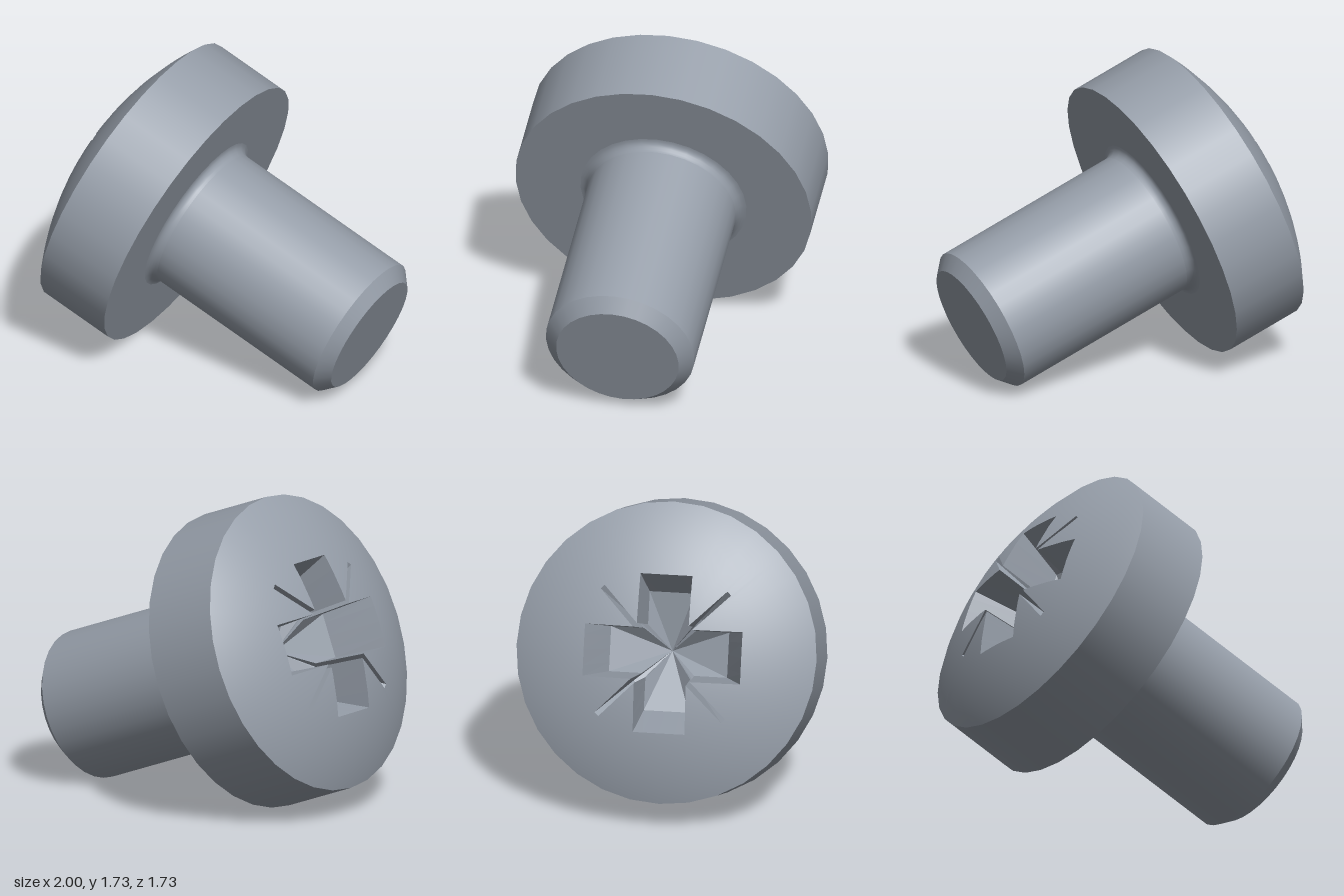
import * as THREE from 'three';

const SIDES = 32, STEP = (2 * Math.PI) / SIDES;
const HEAD_R = 0.838, RIM_Y = 0.445, TOP_Y = 0.68, SHAFT_R = 0.42, TIP_R = 0.347, TIP_Y = -1.205;
const CAP = TOP_Y - RIM_Y;
const BALL = (HEAD_R ** 2 + CAP ** 2) / (2 * CAP);   // radius of the domed top
const BALL_Y = TOP_Y - BALL;

const domeY = (r) => BALL_Y + Math.sqrt(BALL ** 2 - r ** 2);

// Joins closed rings of points, inner to outer, into flat-normalled triangles.
function loft(rings) {
  const pos = [];
  const tri = (...pts) => pts.forEach((p) => pos.push(p.x, p.y, p.z));
  for (let k = 0; k + 1 < rings.length; k++) {
    const a = rings[k], b = rings[k + 1], n = a.length;
    for (let i = 0; i < n; i++) {
      const j = (i + 1) % n;
      if (!a[i].equals(a[j])) tri(a[i], a[j], b[i]);
      tri(a[j], b[j], b[i]);
    }
  }
  const g = new THREE.BufferGeometry();
  g.setAttribute('position', new THREE.Float32BufferAttribute(pos, 3));
  g.computeVertexNormals();
  return g;
}

// Cross-shaped drive outline with a thin diagonal slit in each corner,
// as matching pairs of points: mouth and (tapered) bottom.
function driveOutline() {
  const mouth = [[0.44, -0.145], [0.44, 0.145], [0.166, 0.145], [0.364, 0.343], [0.343, 0.364], [0.145, 0.166], [0.145, 0.44]];
  const floor = [[0.33, -0.125], [0.33, 0.125], [0.146, 0.125], [0.19, 0.169], [0.169, 0.19], [0.125, 0.146], [0.125, 0.33]];
  const vec = ([x, y]) => new THREE.Vector2(x, y);
  const out = [];
  for (let q = 0; q < 4; q++) {
    for (let i = 0; i < 6; i++) {
      const p0 = vec(mouth[i]), p1 = vec(mouth[i + 1]), f0 = vec(floor[i]), f1 = vec(floor[i + 1]);
      const a0 = Math.atan2(p0.y, p0.x), a1 = Math.atan2(p1.y, p1.x);
      const ts = [0];
      // extra points where the rim corners' rays cross this edge
      for (let k = Math.ceil(a0 / STEP); k * STEP < a1 - 1e-4; k++) {
        const dir = vec([Math.cos(k * STEP), Math.sin(k * STEP)]);
        const t = -p0.cross(dir) / p1.clone().sub(p0).cross(dir);
        if (t > 1e-4) ts.push(t);
      }
      for (const t of ts) {
        const turn = (v) => v.rotateAround(new THREE.Vector2(), (q * Math.PI) / 2);
        out.push({ mouth: turn(p0.clone().lerp(p1, t)), floor: turn(f0.clone().lerp(f1, t)) });
      }
    }
  }
  return out;
}

function domeGeometry(outline) {
  const N = 8, rings = [];
  for (let k = 0; k <= N; k++) {
    rings.push(outline.map(({ mouth }) => {
      const a = mouth.angle(), r0 = mouth.length();
      const rim = (HEAD_R * Math.cos(STEP / 2)) / Math.cos((a % STEP) - STEP / 2);
      const r = r0 + ((rim - r0) * k) / N;
      return new THREE.Vector3(r * Math.cos(a), k === N ? RIM_Y : domeY(r), r * Math.sin(a));
    }));
  }
  const g = loft(rings), p = g.attributes.position, v = new THREE.Vector3();
  // smooth normals of the sphere
  for (let i = 0; i < p.count; i++) {
    v.fromBufferAttribute(p, i);
    v.y -= BALL_Y;
    v.normalize();
    g.attributes.normal.setXYZ(i, v.x, v.y, v.z);
  }
  return g;
}

function recessGeometry(outline) {
  return loft([
    outline.map(() => new THREE.Vector3(0, 0.2, 0)),
    outline.map(({ floor }) => new THREE.Vector3(floor.x, 0.34, floor.y)),
    outline.map(({ mouth }) => new THREE.Vector3(mouth.x, domeY(mouth.length()), mouth.y)),
  ]);
}

export function createModel() {
  const steel = new THREE.MeshStandardMaterial({ color: 0x969ea9 });
  steel.name = 'steel grey';

  const screw = new THREE.Group();
  screw.name = 'screw';
  const add = (name, geometry) => {
    const mesh = new THREE.Mesh(geometry, steel);
    mesh.name = name;
    screw.add(mesh);
  };
  // open tube between two heights
  const tube = (rTop, rBottom, y0, y1) =>
    new THREE.CylinderGeometry(rTop, rBottom, y1 - y0, SIDES, 1, true).translate(0, (y0 + y1) / 2, 0);

  // Head
  const outline = driveOutline();
  add('headDome', domeGeometry(outline));
  add('driveRecess', recessGeometry(outline));
  add('headRim', tube(HEAD_R, HEAD_R, 0, RIM_Y));
  const FILLET = 0.05;
  add('headUnderside', new THREE.RingGeometry(SHAFT_R + FILLET, HEAD_R, SIDES).rotateX(Math.PI / 2));

  // Fillet where the shaft meets the head
  const curve = [];
  for (let i = 0; i <= 5; i++) {
    const a = (i / 5) * (Math.PI / 2);
    curve.push(new THREE.Vector2(SHAFT_R + FILLET * (1 - Math.cos(a)), FILLET * (Math.sin(a) - 1)));
  }
  add('shaftFillet', new THREE.LatheGeometry(curve, SIDES));

  // Shaft with chamfered tip
  const chamferY = TIP_Y + 0.07;
  add('shaft', tube(SHAFT_R, SHAFT_R, chamferY, -FILLET));
  add('tipChamfer', tube(SHAFT_R, TIP_R, TIP_Y, chamferY));
  add('tipFace', new THREE.CircleGeometry(TIP_R, SIDES).rotateX(Math.PI / 2).rotateY(STEP * 8).translate(0, TIP_Y, 0));

  // Tilt the screw so that its head leans up and to the side
  const axis = new THREE.Vector3(-0.917, 0.347, -0.1975).normalize();
  const across = new THREE.Vector3(0, 1, 0).addScaledVector(axis, -axis.y).normalize();
  const third = new THREE.Vector3().crossVectors(across, axis);
  screw.quaternion.setFromRotationMatrix(new THREE.Matrix4().makeBasis(across, axis, third));
  screw.position.set(-0.243, 0.79, 0.042);

  const model = new THREE.Group();
  model.name = 'panHeadScrew';
  model.add(screw);
  return model;
}
